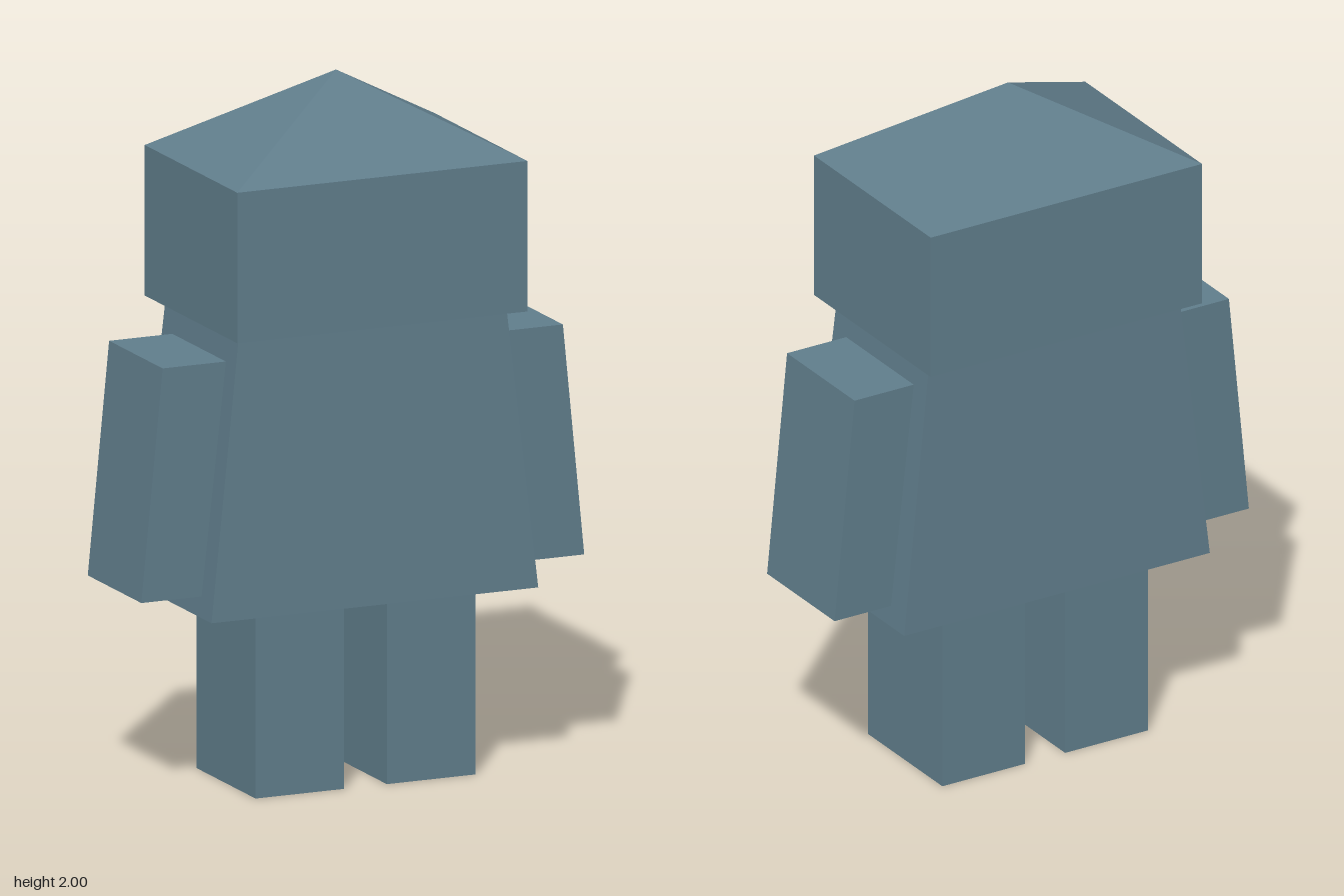
import * as THREE from 'three';

const material = new THREE.MeshStandardMaterial({ color: 0x607d8b, flatShading: true });

// Six-sided block between two heights; each end is [xMin, xMax, halfDepth]
function block(name, y0, y1, bottom, top = bottom) {
  const geometry = new THREE.BoxGeometry(1, 1, 1);
  const p = geometry.attributes.position;
  for (let i = 0; i < p.count; i++) {
    const upper = p.getY(i) > 0;
    const [xMin, xMax, depth] = upper ? top : bottom;
    p.setXYZ(i, p.getX(i) > 0 ? xMax : xMin, upper ? y1 : y0, Math.sign(p.getZ(i)) * depth);
  }
  geometry.computeVertexNormals();
  const mesh = new THREE.Mesh(geometry, material);
  mesh.name = name;
  return mesh;
}

export function createModel() {
  const model = new THREE.Group();
  model.name = 'blockFigure';

  // Tapered torso and wide head
  model.add(block('torso', 0.53, 1.333, [-0.498, 0.498, 0.257], [-0.408, 0.408, 0.242]));
  model.add(block('head', 1.333, 1.762, [-0.442, 0.442, 0.306]));

  // Pyramid on top of the head
  const roof = new THREE.ConeGeometry(Math.SQRT2, 0.238, 4, 1, true);
  roof.rotateY(Math.PI / 4).scale(0.442, 1, 0.306).translate(0, 1.881, 0);
  roof.computeVertexNormals();
  const pointedTop = new THREE.Mesh(roof, material);
  pointedTop.name = 'pointedTop';
  model.add(pointedTop);

  // Legs, and arms leaning along the sides of the torso
  for (const [side, s] of [['left', 1], ['right', -1]]) {
    const span = (inner, outer, depth) => (s > 0 ? [inner, outer, depth] : [-outer, -inner, depth]);
    model.add(block(side + 'Leg', 0, 0.53, span(0.065, 0.335, 0.195)));
    model.add(block(side + 'Arm', 0.588, 1.25, span(0.47, 0.675, 0.177), span(0.4, 0.61, 0.177)));
  }
  return model;
}
